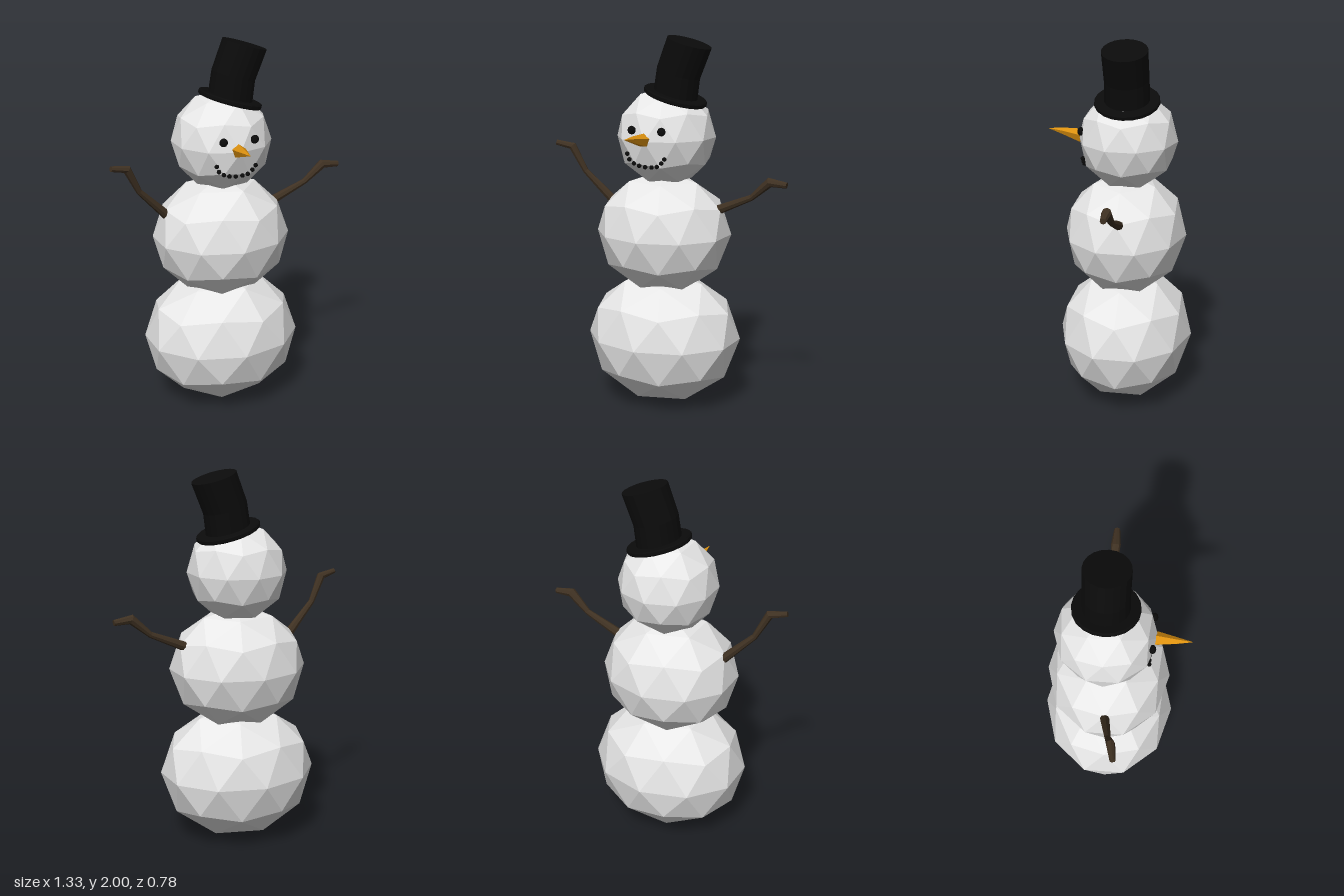
import * as THREE from 'three';

const mat = (name, color) => Object.assign(new THREE.MeshStandardMaterial({ color }), { name });

// Faceted normals: one normal per triangle
function faceted(geo) {
  const g = geo.index ? geo.toNonIndexed() : geo;
  g.computeVertexNormals();
  return g;
}

// Low-poly ball with a vertex at the pole
function ball(rx, ry, rz) {
  const g = new THREE.IcosahedronGeometry(1, 1);
  g.rotateZ(-Math.atan(2 / (1 + Math.sqrt(5))));
  g.scale(rx, ry, rz);
  return faceted(g);
}

// Capped tube through stations [x, y, z, radius]; rings square to the path, or to a fixed axis
function loft(stations, sides, ref, axis) {
  const pts = stations.map(s => new THREE.Vector3(s[0], s[1], s[2]));
  const pos = [], idx = [], last = pts.length - 1;
  pts.forEach((p, i) => {
    const t = axis ? axis.clone()
      : pts[Math.min(i + 1, last)].clone().sub(pts[Math.max(i - 1, 0)]).normalize();
    const u = ref.clone().addScaledVector(t, -ref.dot(t)).normalize();
    const v = t.clone().cross(u);
    for (let j = 0; j < sides; j++) {
      const a = j / sides * Math.PI * 2, r = stations[i][3];
      const q = p.clone().addScaledVector(u, Math.cos(a) * r).addScaledVector(v, Math.sin(a) * r);
      pos.push(q.x, q.y, q.z);
    }
  });
  const c0 = pos.length / 3, c1 = c0 + 1;
  pos.push(...pts[0].toArray(), ...pts[last].toArray());
  for (let j = 0; j < sides; j++) {
    const k = (j + 1) % sides, e = last * sides;
    for (let i = 0; i < last; i++) {
      const a = i * sides, b = a + sides;
      idx.push(a + j, a + k, b + j, a + k, b + k, b + j);
    }
    idx.push(c0, k, j, c1, e + j, e + k);
  }
  const g = new THREE.BufferGeometry();
  g.setAttribute('position', new THREE.Float32BufferAttribute(pos, 3));
  g.setIndex(idx);
  return faceted(g);
}

export function createModel() {
  const model = new THREE.Group();
  model.name = 'snowman';
  const snow = mat('snow', 0xe7e7e7);
  const black = mat('black', 0x0b0b0b);
  const wood = mat('wood', 0x3f3122);
  const carrot = mat('carrot', 0xdb900f);
  const X = new THREE.Vector3(1, 0, 0), Y = new THREE.Vector3(0, 1, 0), Z = new THREE.Vector3(0, 0, 1);

  const add = (name, geo, material, x = 0, y = 0, z = 0, parent = model) => {
    const m = new THREE.Mesh(geo, material);
    m.name = name;
    m.position.set(x, y, z);
    parent.add(m);
    return m;
  };

  // Three stacked snowballs
  add('lowerBody', ball(0.426, 0.365, 0.363), snow, -0.037, 0.366, -0.032);
  add('upperBody', ball(0.371, 0.33, 0.328), snow, -0.037, 0.945, -0.03);
  add('head', ball(0.266, 0.266, 0.264), snow, -0.028, 1.465, -0.043);

  // Coal eyes
  for (const [name, x] of [['rightEye', -0.112], ['leftEye', 0.06]])
    add(name, ball(0.023, 0.023, 0.018), black, x, 1.52, 0.194);

  // Smile made of small coals
  const smile = new THREE.Group();
  smile.name = 'mouth';
  model.add(smile);
  const coals = [[-0.145, 1.393], [-0.133, 1.364], [-0.106, 1.345], [-0.075, 1.334], [-0.04, 1.329],
    [-0.003, 1.33], [0.027, 1.335], [0.053, 1.355], [0.071, 1.377]];
  for (const [x, y] of coals)
    add('mouthCoal', ball(0.012, 0.012, 0.012), black, x, y, 0.182, smile);

  // Five-sided carrot nose, curving up to the tip
  add('nose', loft([
    [-0.035, 1.47, 0.15, 0.037], [-0.035, 1.472, 0.22, 0.036],
    [-0.045, 1.487, 0.31, 0.019], [-0.05, 1.497, 0.39, 0.001],
  ], 5, Y, Z), carrot);

  // Crooked stick arms
  add('leftArm', loft([
    [0.275, 1.09, -0.045, 0.025], [0.465, 1.172, -0.045, 0.016],
    [0.568, 1.262, -0.038, 0.026], [0.662, 1.252, -0.038, 0.016],
  ], 8, Z), wood);
  add('rightArm', loft([
    [-0.345, 1.092, -0.03, 0.025], [-0.503, 1.25, 0, 0.016],
    [-0.572, 1.385, 0.02, 0.023], [-0.662, 1.402, 0.037, 0.015],
  ], 8, Z), wood);

  // Tilted top hat with a slightly bent crown
  const hat = new THREE.Group();
  hat.name = 'hat';
  hat.position.set(0.023, 1.68, -0.045);
  hat.rotation.z = -0.29;
  model.add(hat);
  add('hatBrim', loft([
    [0, -0.013, 0, 0.166], [0, -0.006, 0, 0.172], [0, 0.008, 0, 0.172], [0, 0.014, 0, 0.166],
  ], 20, X, Y), black, 0, 0, 0, hat);
  add('hatCrown', loft([
    [0, 0, 0, 0.12], [-0.018, 0.125, 0, 0.118], [-0.003, 0.296, 0, 0.12],
  ], 20, X, Y), black, 0, 0, 0, hat);

  return model;
}
